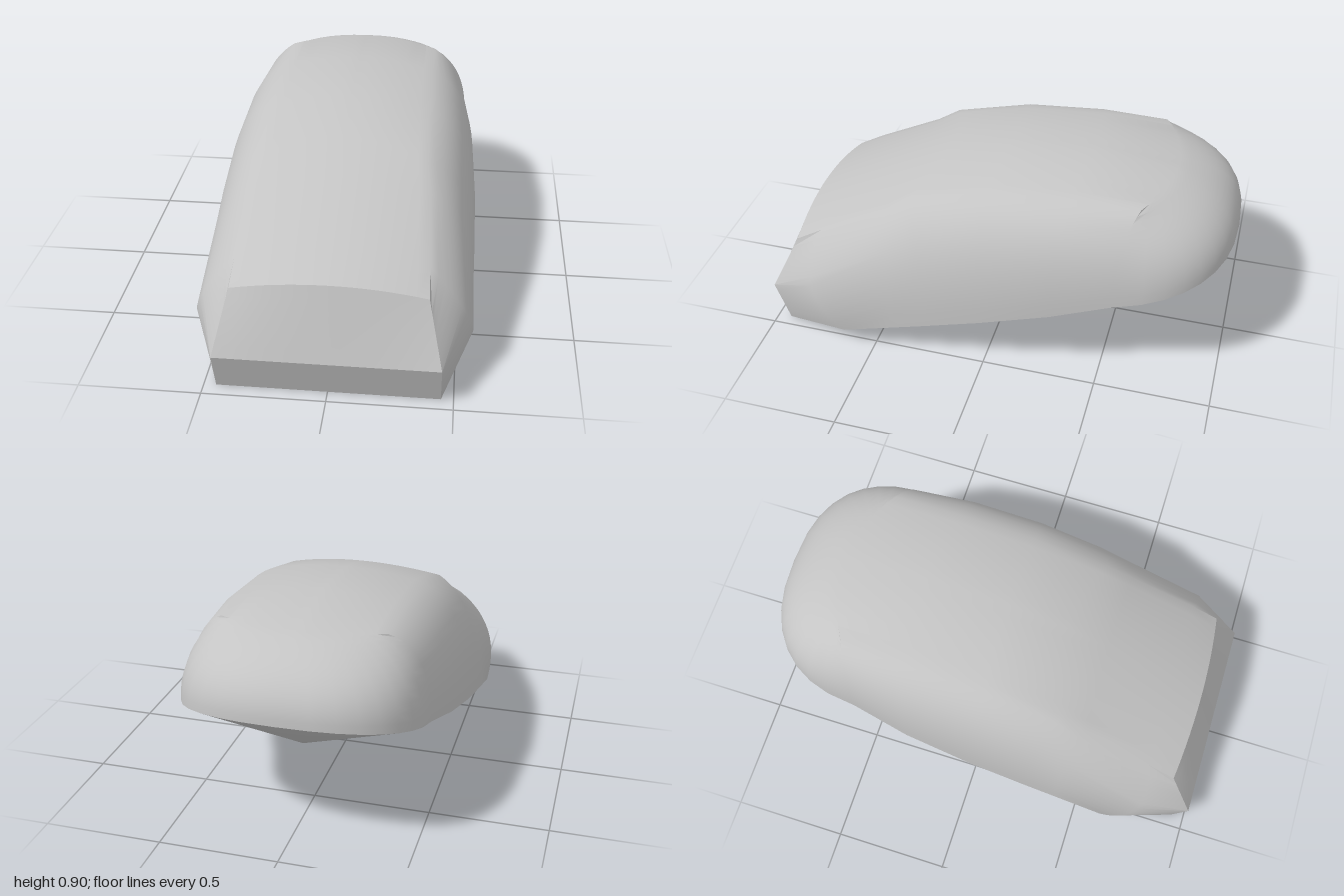
import * as THREE from 'three';
import { toCreasedNormals } from 'three/addons/utils/BufferGeometryUtils.js';

const STEPS = 8;   // divisions across half the roof
const RISE = 12;   // divisions from the lower rim to the roof edge
const lerp = THREE.MathUtils.lerp;
const vec = (x, y, z) => new THREE.Vector3(x, y, z);

// The rim lies in one sloping plane
const rimPoint = (x, z) => vec(x, 0.6 * (0.94 - z) / 1.94, z);

// Roof rows, front to back: edge x, y, z, then centre y, z
const roofRows = [
  [0.39, 0.43, 0.88, 0.48, 0.90],
  [0.385, 0.50, 0.76, 0.556, 0.76],
  [0.37, 0.655, 0.46, 0.715, 0.45],
  [0.352, 0.735, 0.35, 0.80, 0.27],
  [0.345, 0.82, 0.02, 0.87, 0.0],
  [0.342, 0.853, -0.33, 0.90, -0.36],
  [0.34, 0.852, -0.62, 0.866, -0.72],
];
// Rim x, z beside each roof row after the first
const sideRim = [[0.565, 0.62], [0.565, 0.4], [0.565, 0.25], [0.562, 0], [0.545, -0.3], [0.505, -0.55]];

// Point on a roof row, f = 0 at the centre and 1 at the edge
function roofPoint([x, y, z, cy, cz], f) {
  return vec(x * f, lerp(cy, y, f * f), lerp(cz, z, f * f));
}

// Straight front section, bent outwards at the belt
function frontColumn(f) {
  const rim = rimPoint(0.45 * f, 0.94), belt = vec(0.45 * f, 0.18, 1), top = roofPoint(roofRows[0], f);
  return Array.from({ length: RISE + 1 }, (_, i) => {
    const t = i / RISE;
    return t < 0.5 ? rim.clone().lerp(belt, t * 2) : belt.clone().lerp(top, t * 2 - 1);
  });
}

// Curved section that rises from the rim and turns in to the roof
function curvedColumn(rim, top, control = vec(rim.x, top.y - 0.08, rim.z)) {
  return new THREE.QuadraticBezierCurve3(rim, control, top).getPoints(RISE);
}

// All sections of one half, from the front centre round to the back centre
function buildColumns() {
  const columns = [];
  for (let i = 0; i <= STEPS; i++) columns.push(frontColumn(i / STEPS));
  sideRim.forEach(([x, z], i) => {
    const control = i === 0 ? vec(0.595, 0.3, 0.85) : undefined;
    columns.push(curvedColumn(rimPoint(x, z), roofPoint(roofRows[i + 1], 1), control));
  });
  for (let i = 1; i <= STEPS; i++) {
    const a = (i / STEPS) * Math.PI / 2;
    const x = i === STEPS ? 0 : 0.505 * Math.cos(a) ** 0.8;
    const z = -0.55 - 0.45 * Math.sin(a) ** 0.8;
    columns.push(curvedColumn(rimPoint(x, z), roofPoint(roofRows[6], 1 - i / STEPS)));
  }
  return columns;
}

// Collects mirrored triangles, each turned to face away from the middle
function makeSurface() {
  const middle = vec(0, 0.45, 0), positions = [];
  const add = (a, b, c) => {
    const normal = b.clone().sub(a).cross(c.clone().sub(a));
    if (normal.length() < 1e-9) return;
    const outward = normal.dot(a.clone().sub(middle)) > 0;
    const corners = outward ? [a, b, c] : [a, c, b];
    for (const p of corners) positions.push(p.x, p.y, p.z);
    for (const p of corners.reverse()) positions.push(-p.x, p.y, p.z);
  };
  return {
    quad(a, b, c, d) { add(a, b, c); add(a, c, d); },
    geometry() {
      const g = new THREE.BufferGeometry();
      g.setAttribute('position', new THREE.Float32BufferAttribute(positions, 3));
      return toCreasedNormals(g, 0.55);
    },
  };
}

export function createModel() {
  const grey = new THREE.MeshStandardMaterial({ color: 0xc4c4c4 });
  grey.name = 'plain grey';
  const model = new THREE.Group();
  model.name = 'roundedShell';
  const columns = buildColumns();

  // Walls and roof, smoothed together
  const shell = makeSurface();
  for (let i = 0; i < columns.length - 1; i++) {
    const p = columns[i], q = columns[i + 1];
    for (let j = 0; j < RISE; j++) shell.quad(p[j], q[j], q[j + 1], p[j + 1]);
  }
  for (let r = 0; r < roofRows.length - 1; r++) {
    for (let i = 0; i < STEPS; i++) {
      const f = i / STEPS, g = (i + 1) / STEPS;
      shell.quad(roofPoint(roofRows[r], f), roofPoint(roofRows[r], g),
        roofPoint(roofRows[r + 1], g), roofPoint(roofRows[r + 1], f));
    }
  }
  const upper = new THREE.Mesh(shell.geometry(), grey);
  upper.name = 'upperBody';

  // Underside slopes from the rim to a central keel
  const keelFront = vec(0, 0.065, 0.22), keelBack = vec(0, 0.34, -0.65);
  const keelPoint = (rim) => keelFront.clone().lerp(keelBack, THREE.MathUtils.clamp((0.62 - rim.z) / 0.92, 0, 1));
  const belly = makeSurface();
  for (let i = 0; i < columns.length - 1; i++) {
    const a = columns[i][0], b = columns[i + 1][0];
    belly.quad(a, b, keelPoint(b), keelPoint(a));
  }
  const underside = new THREE.Mesh(belly.geometry(), grey);
  underside.name = 'underside';

  model.add(upper, underside);
  return model;
}
